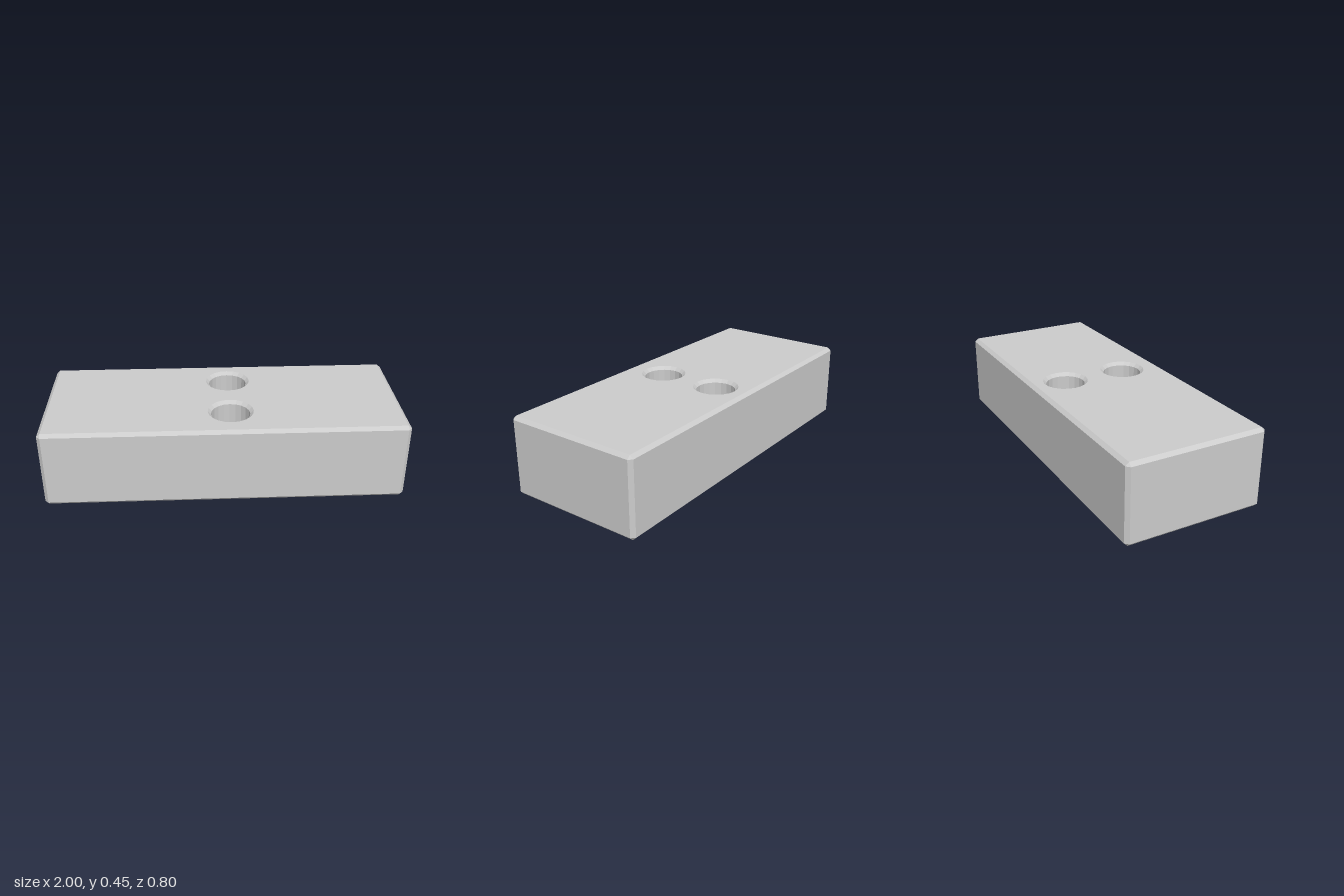
import * as THREE from 'three';

const X = 1, Z = 0.4, TOP = 0.45, BEVEL = 0.02;
const HOLE_X = 0.037, HOLE_Z = [-0.198, 0.173];
const RIM_R = 0.128, BORE_R = 0.109, SIDES = 20, HOLE_DEPTH = 0.25;

// Eight-point ring; each corner runs from its z-face point to its x-face point.
function ring(y, ix, iz, ox, oz) {
  return [
    [ix, y, oz], [ox, y, iz], [ox, y, -iz], [ix, y, -oz],
    [-ix, y, -oz], [-ox, y, -iz], [-ox, y, iz], [-ix, y, oz],
  ];
}

// Chamfered sides joined ring to ring, closed underneath.
function shellGeometry() {
  const ix = X - BEVEL, iz = Z - BEVEL;
  const rings = [
    ring(0, ix, iz, ix, iz),
    ring(BEVEL, ix, iz, X, Z),
    ring(TOP - 0.018, ix, iz, X, Z),
    ring(TOP, ix, iz, ix, iz),
  ];
  const pos = [];
  const same = (a, b) => a.every((v, i) => v === b[i]);
  const tri = (a, b, c) => {
    if (!same(a, b) && !same(b, c) && !same(c, a)) pos.push(...a, ...b, ...c);
  };
  for (let r = 0; r < rings.length - 1; r++) {
    const lo = rings[r], hi = rings[r + 1];
    for (let i = 0; i < 8; i++) {
      const j = (i + 1) % 8;
      tri(lo[i], lo[j], hi[j]);
      tri(lo[i], hi[j], hi[i]);
    }
  }
  const b = rings[0];
  tri(b[0], b[6], b[4]);
  tri(b[0], b[4], b[2]);
  const geo = new THREE.BufferGeometry();
  geo.setAttribute('position', new THREE.Float32BufferAttribute(pos, 3));
  geo.computeVertexNormals();
  return geo;
}

// Flat top face with two round openings.
function topGeometry() {
  const x = X - BEVEL, z = Z - BEVEL;
  const shape = new THREE.Shape([[-x, -z], [x, -z], [x, z], [-x, z]].map(p => new THREE.Vector2(...p)));
  for (const hz of HOLE_Z) {
    const pts = [];
    for (let i = 0; i < SIDES; i++) {
      const a = -i / SIDES * Math.PI * 2;
      pts.push(new THREE.Vector2(HOLE_X + RIM_R * Math.cos(a), -hz + RIM_R * Math.sin(a)));
    }
    shape.holes.push(new THREE.Path(pts));
  }
  return new THREE.ShapeGeometry(shape).rotateX(-Math.PI / 2).translate(0, TOP, 0);
}

export function createModel() {
  const group = new THREE.Group();
  const material = new THREE.MeshStandardMaterial({ color: 0xcccccc, flatShading: true });
  const add = (name, geo) => {
    const mesh = new THREE.Mesh(geo, material);
    mesh.name = name;
    group.add(mesh);
    return mesh;
  };

  add('blockSides', shellGeometry());
  add('blockTop', topGeometry());

  // Countersunk blind holes: chamfered rim, bore wall and floor.
  const profile = [[RIM_R, 0], [BORE_R, -0.018], [BORE_R, -HOLE_DEPTH], [0, -HOLE_DEPTH]]
    .map(p => new THREE.Vector2(...p));
  const holeGeo = new THREE.LatheGeometry(profile, SIDES);
  HOLE_Z.forEach((z, i) => {
    add(i ? 'frontHole' : 'backHole', holeGeo).position.set(HOLE_X, TOP, z);
  });
  return group;
}
